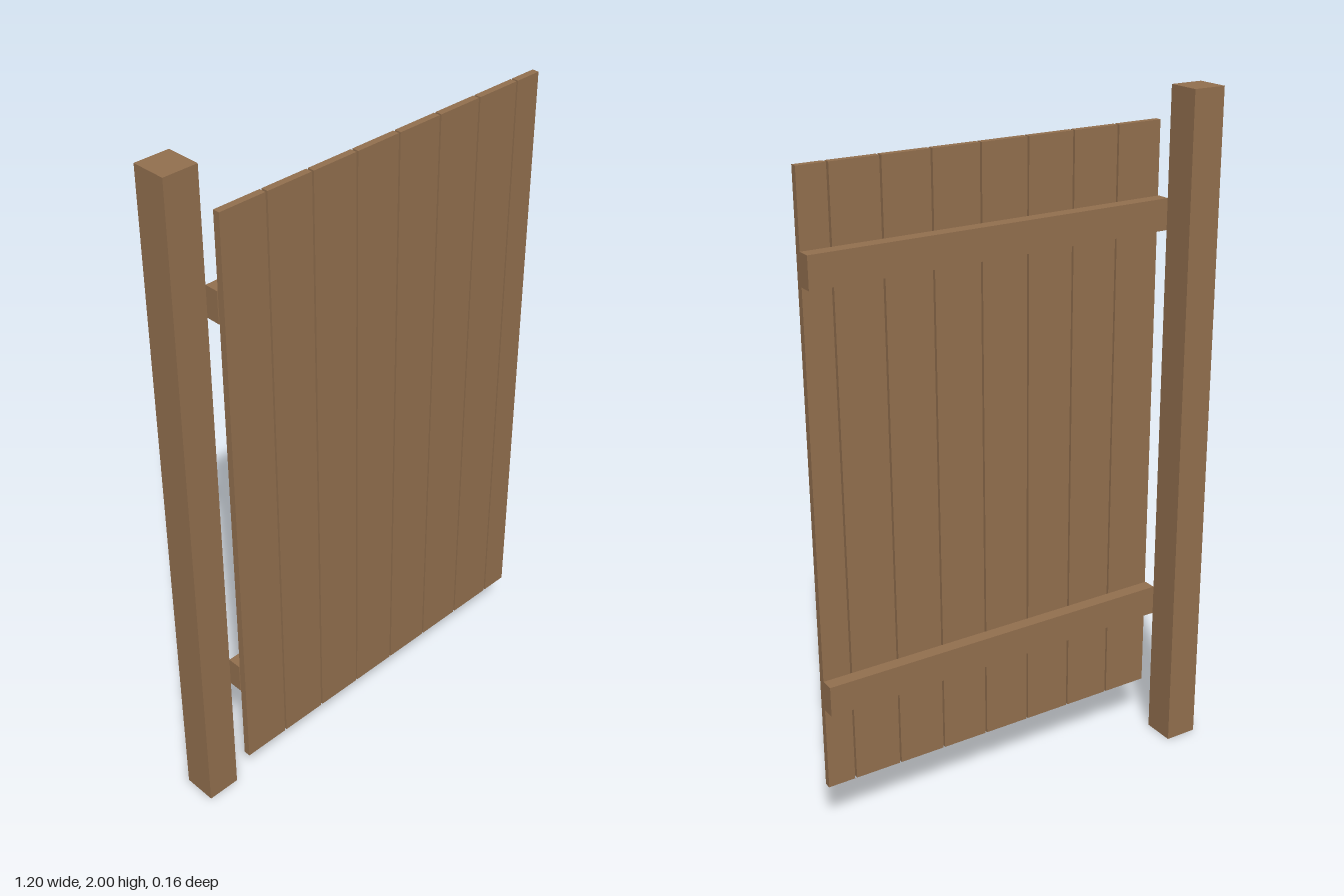
import * as THREE from 'three';

export function createModel() {
  const model = new THREE.Group();
  model.name = 'fencePanel';
  const wood = new THREE.MeshStandardMaterial({ color: 0x926f4e });
  wood.name = 'brown wood';

  // Box given by its minimum and maximum corners
  function board(name, [x0, y0, z0], [x1, y1, z1]) {
    const mesh = new THREE.Mesh(new THREE.BoxGeometry(x1 - x0, y1 - y0, z1 - z0), wood);
    mesh.position.set((x0 + x1) / 2, (y0 + y1) / 2, (z0 + z1) / 2);
    mesh.name = name;
    model.add(mesh);
  }

  // Square post at the right-hand end, behind the panel
  board('post', [-0.6, 0, -0.08], [-0.5, 2, 0.02]);

  // Two horizontal rails
  board('lowerRail', [-0.5, 0.4, 0.02], [0.6, 0.49, 0.06]);
  board('upperRail', [-0.5, 1.6, 0.02], [0.6, 1.69, 0.06]);

  // Vertical pickets with narrow gaps; the last one is cut to fit
  const width = 0.139, pitch = 0.145, end = 0.6;
  for (let i = 0; i < 8; i++) {
    const x = -0.497 + i * pitch;
    board(`picket${i + 1}`, [x, 0.15, 0.06], [Math.min(x + width, end), 1.9, 0.08]);
  }
  return model;
}
